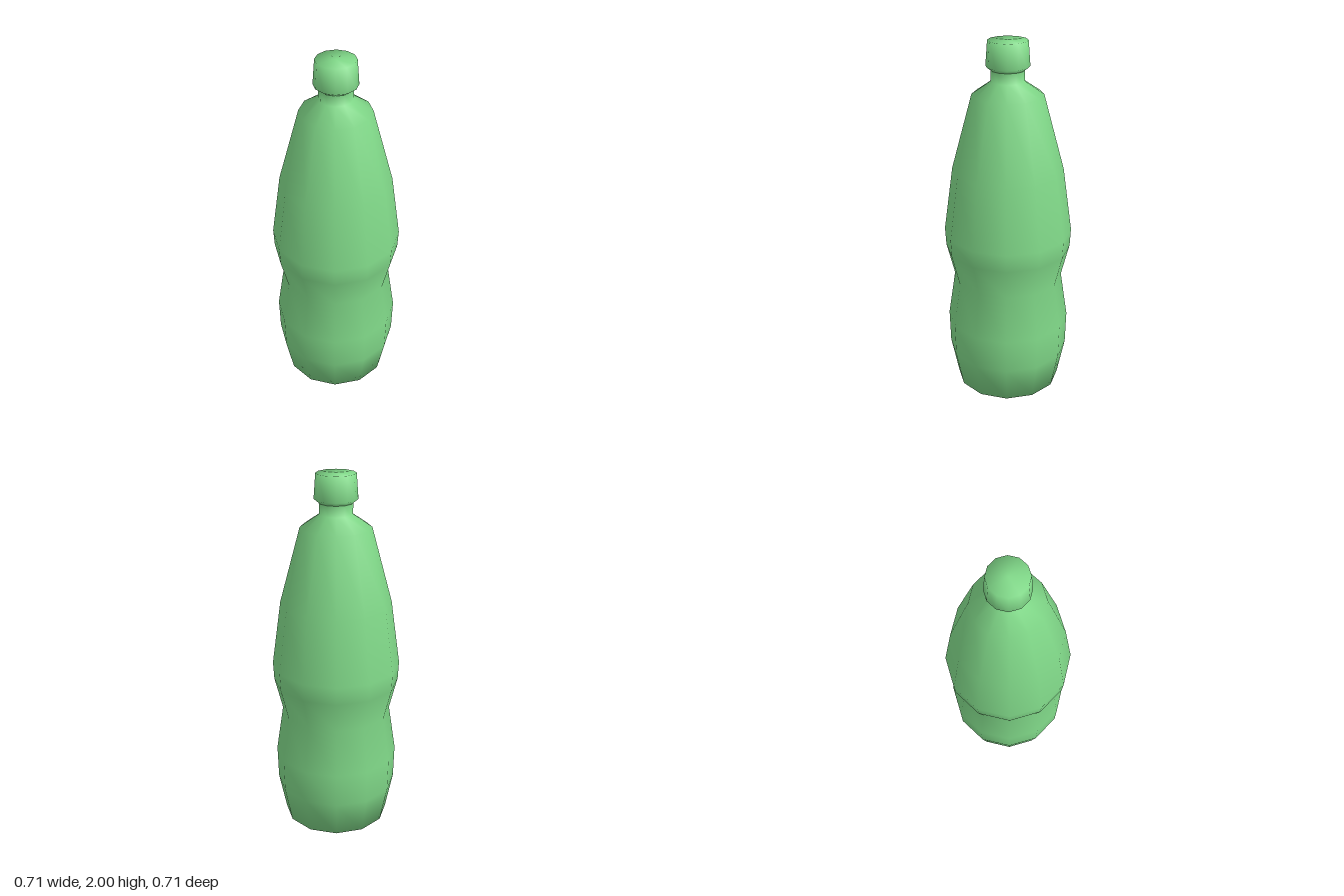
import * as THREE from 'three';

const SIDES = 12;

// Revolve a [radius, height] profile, listed from bottom to top
function turned(name, profile, material) {
  const points = profile.map(([r, y]) => new THREE.Vector2(r, y));
  const mesh = new THREE.Mesh(new THREE.LatheGeometry(points, SIDES), material);
  mesh.name = name;
  return mesh;
}

export function createModel() {
  const group = new THREE.Group();
  group.name = 'bottle';
  const green = new THREE.MeshStandardMaterial({ color: 0x80d888 });

  // Body with a pinched waist, tapering shoulder and short neck
  group.add(turned('body', [
    [0, 0], [0.295, 0], [0.338, 0.21], [0.343, 0.4],
    [0.304, 0.66], [0.349, 0.84], [0.354, 0.94],
    [0.304, 1.3], [0.192, 1.715], [0.09, 1.785], [0.09, 1.845],
  ], green));

  // Screw cap, slightly wider at its lower rim
  group.add(turned('cap', [
    [0.09, 1.845], [0.117, 1.865], [0.107, 2], [0, 2],
  ], green));

  return group;
}
